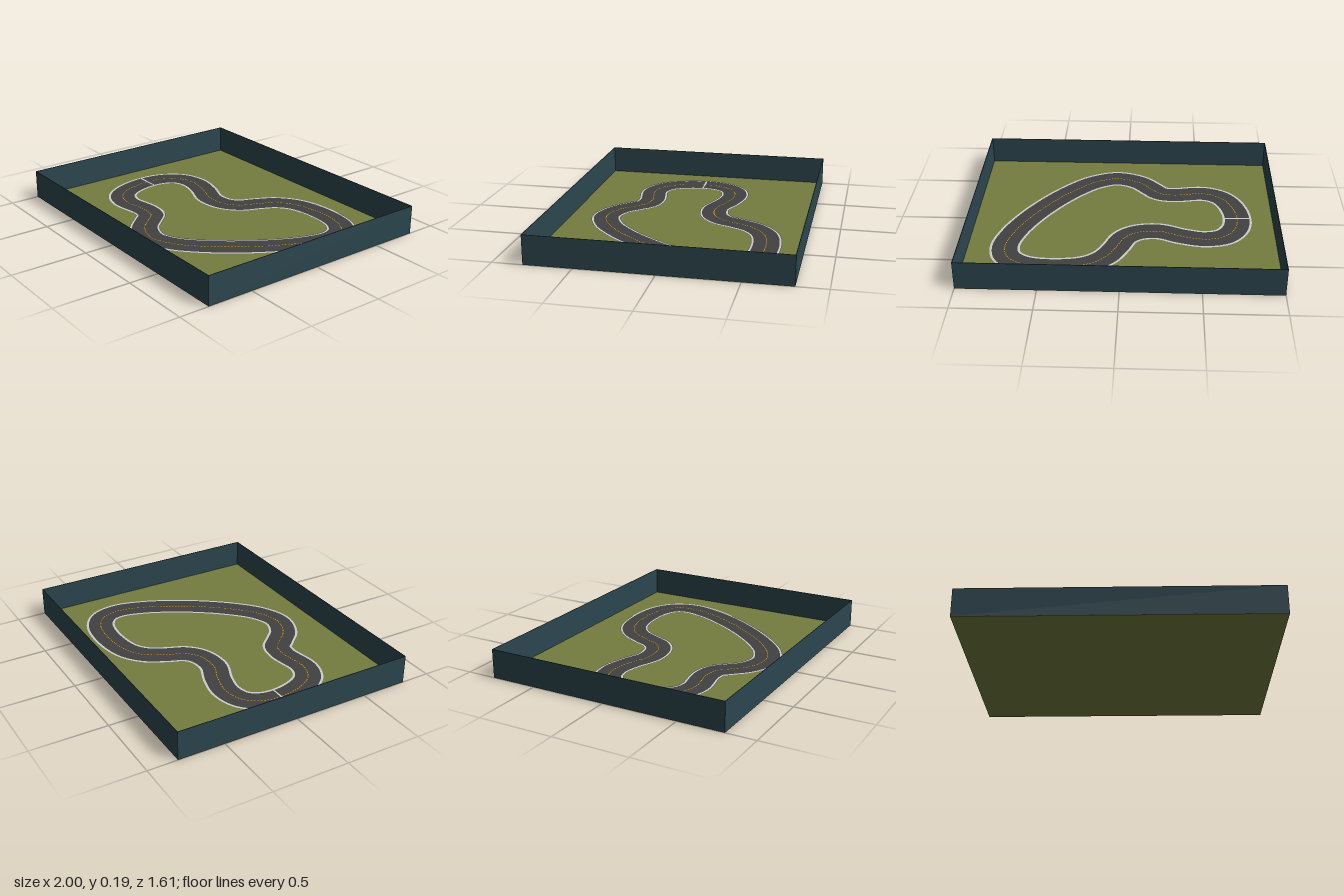
import * as THREE from 'three';

const HALF_X = 1, HALF_Z = 0.806, WALL_H = 0.19, WALL_T = 0.004, FLOOR_T = 0.003;

const material = (name, color) => {
  const m = new THREE.MeshStandardMaterial({ color });
  m.name = name;
  return m;
};

// centreline of the circuit as [x, z], starting at the start line
const TRACK = [
  [-0.76, 0.045], [-0.738, -0.085], [-0.665, -0.18], [-0.535, -0.215], [-0.39, -0.187],
  [-0.235, -0.132], [-0.095, -0.15], [-0.012, -0.215], [0.04, -0.33], [0.105, -0.445],
  [0.22, -0.53], [0.43, -0.565], [0.62, -0.54], [0.725, -0.462], [0.755, -0.345],
  [0.718, -0.18], [0.62, 0.03], [0.49, 0.23], [0.35, 0.395], [0.22, 0.505],
  [0.065, 0.56], [-0.085, 0.512], [-0.18, 0.42], [-0.24, 0.36], [-0.335, 0.342],
  [-0.54, 0.367], [-0.655, 0.32], [-0.725, 0.215],
];

export function createModel() {
  const model = new THREE.Group();
  model.name = 'raceTrackTray';
  const grass = material('grass green', 0x747d40);
  const wallPaint = material('slate blue', 0x2c464f);
  const asphalt = material('asphalt grey', 0x414142);
  const white = material('line white', 0xcccccc);
  const orange = material('dash orange', 0xffa500);

  const curve = new THREE.CatmullRomCurve3(
    TRACK.map(([x, z]) => new THREE.Vector3(x, 0, z)), true, 'centripetal');
  curve.arcLengthDivisions = 1200;

  const add = (name, geometry, mat) => {
    const mesh = new THREE.Mesh(geometry, mat);
    mesh.name = name;
    model.add(mesh);
    return mesh;
  };

  // flat strips along the track; each span is [u0, u1, segments]
  const ribbon = (name, spans, a, b, y, mat) => {
    const pos = [], normal = [], index = [];
    for (const [u0, u1, n] of spans) {
      for (let i = 0; i <= n; i++) {
        const u = (u0 + (u1 - u0) * i / n + 1) % 1;
        const p = curve.getPointAt(u), t = curve.getTangentAt(u);
        for (const d of [a, b]) {
          pos.push(p.x - t.z * d, y, p.z + t.x * d);
          normal.push(0, 1, 0);
        }
        if (i < n) {
          const k = pos.length / 3 - 2;
          index.push(k, k + 1, k + 2, k + 1, k + 3, k + 2);
        }
      }
    }
    const g = new THREE.BufferGeometry();
    g.setAttribute('position', new THREE.Float32BufferAttribute(pos, 3));
    g.setAttribute('normal', new THREE.Float32BufferAttribute(normal, 3));
    g.setIndex(index);
    return add(name, g, mat);
  };

  // grass floor
  add('grassFloor', new THREE.BoxGeometry(2 * HALF_X, FLOOR_T, 2 * HALF_Z), grass)
    .position.y = FLOOR_T / 2;

  // four thin walls standing on the floor's rim
  const wallH = WALL_H - FLOOR_T, wallY = FLOOR_T + wallH / 2;
  for (const s of [-1, 1]) {
    add(s > 0 ? 'frontWall' : 'backWall',
      new THREE.BoxGeometry(2 * HALF_X, wallH, WALL_T), wallPaint)
      .position.set(0, wallY, s * (HALF_Z - WALL_T / 2));
    add(s > 0 ? 'leftWall' : 'rightWall',
      new THREE.BoxGeometry(WALL_T, wallH, 2 * (HALF_Z - WALL_T)), wallPaint)
      .position.set(s * (HALF_X - WALL_T / 2), wallY, 0);
  }

  // road surface with its painted edges
  const loop = [[0, 1, 400]];
  ribbon('road', loop, -0.09, 0.09, 0.005, asphalt);
  ribbon('outerEdgeLine', loop, -0.097, -0.082, 0.007, white);
  ribbon('innerEdgeLine', loop, 0.082, 0.097, 0.007, white);

  // dashed centre line
  const count = Math.round(curve.getLength() / 0.021);
  const dashes = Array.from({ length: count }, (_, i) => [i / count, (i + 0.55) / count, 1]);
  ribbon('centreDashes', dashes, -0.003, 0.003, 0.007, orange);

  // start line across the road
  const half = 0.006 / curve.getLength();
  ribbon('startLine', [[-half, half, 1]], -0.09, 0.09, 0.008, white);

  return model;
}
